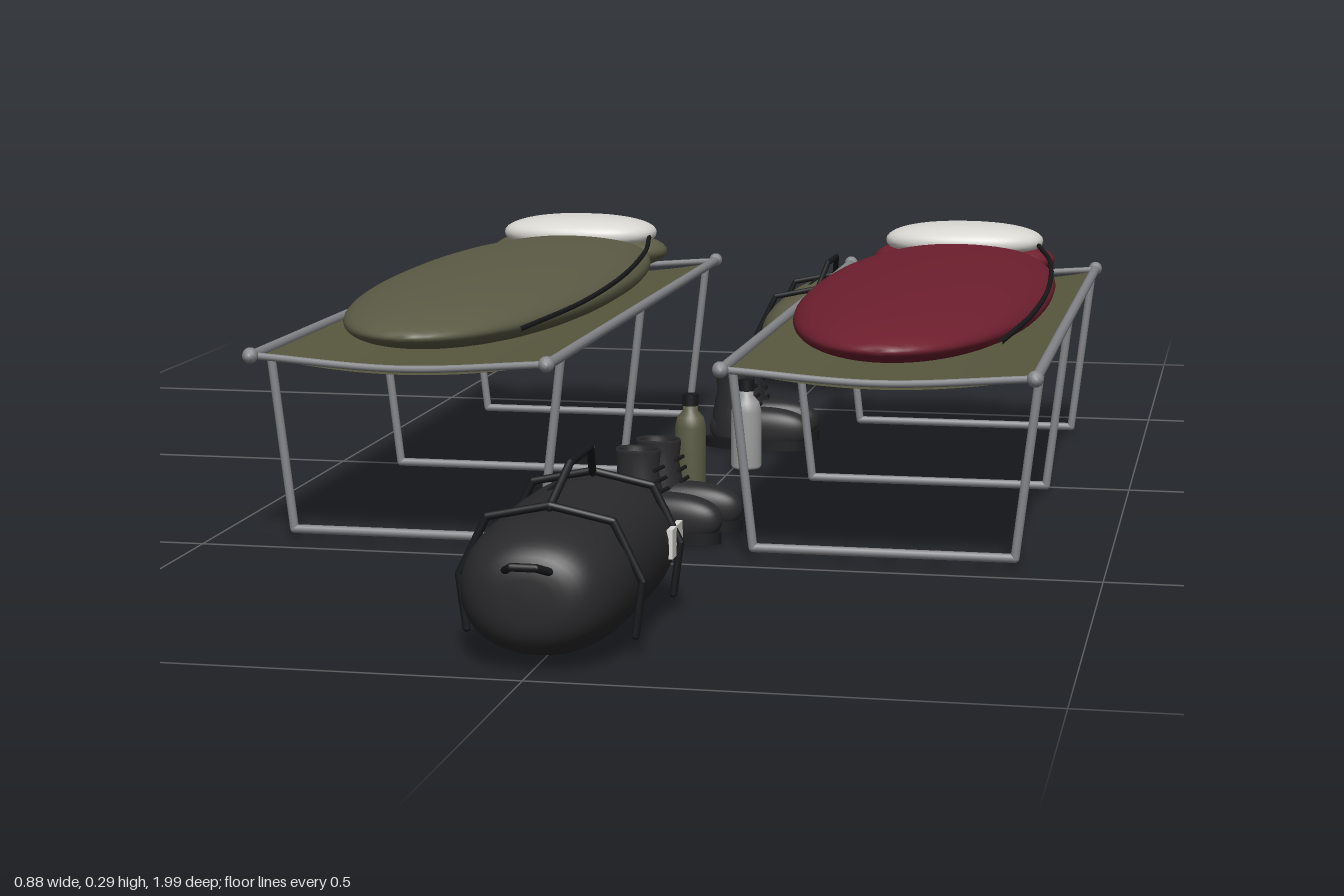
import * as THREE from 'three';
import { mergeVertices } from 'three/addons/utils/BufferGeometryUtils.js';

const mat = (name, color, side = THREE.FrontSide) => {
  const m = new THREE.MeshStandardMaterial({ color, side });
  m.name = name;
  return m;
};

export function createModel() {
  const steel = mat('steel grey', 0x85868a);
  const canvas = mat('canvas olive', 0x58583f, THREE.DoubleSide);
  const olive = mat('fabric olive', 0x5b5b45);
  const red = mat('fabric red', 0x6e1f2e);
  const white = mat('pillow white', 0xd8d7d2);
  const black = mat('bag black', 0x29292b);
  const strapBlack = mat('strap black', 0x17181a);
  const silver = mat('bottle grey', 0x9b9c9b);

  const V = (x, y, z) => new THREE.Vector3(x, y, z);
  const add = (parent, name, geo, material, x = 0, y = 0, z = 0) => {
    const m = new THREE.Mesh(geo, material);
    m.name = name;
    m.position.set(x, y, z);
    parent.add(m);
    return m;
  };
  const group = (parent, name, x = 0, y = 0, z = 0) => {
    const g = new THREE.Group();
    g.name = name;
    g.position.set(x, y, z);
    parent.add(g);
    return g;
  };

  // Straight round bars joined at each point
  const bars = (parent, name, pts, r, material) => {
    const g = group(parent, name);
    pts.forEach((p, i) => {
      add(g, name + 'Joint', new THREE.SphereGeometry(r, 10, 6), material, p.x, p.y, p.z);
      if (!i) return;
      const d = p.clone().sub(pts[i - 1]);
      const c = p.clone().add(pts[i - 1]).multiplyScalar(0.5);
      const b = add(g, name + 'Bar', new THREE.CylinderGeometry(r, r, d.length(), 10), material, c.x, c.y, c.z);
      b.quaternion.setFromUnitVectors(V(0, 1, 0), d.normalize());
    });
    return g;
  };
  const tube = (pts, r) => new THREE.TubeGeometry(new THREE.CatmullRomCurve3(pts), 40, r, 8);

  // Superellipsoid along z: lower end = squarer ends, lower sec = squarer section
  const blob = (rx, ry, rz, end = 1, sec = 1) => {
    const geo = new THREE.SphereGeometry(1, 40, 32).rotateX(Math.PI / 2);
    const p = geo.attributes.position;
    const pw = (v, e) => Math.sign(v) * Math.abs(v) ** e;
    for (let i = 0; i < p.count; i++) {
      const x = p.getX(i), y = p.getY(i), z = p.getZ(i);
      const r = Math.hypot(x, y);
      const k = r < 1e-5 ? 0 : r ** end;
      const q = r < 1e-5 ? 1 : r;
      p.setXYZ(i, rx * k * pw(x / q, sec), ry * k * pw(y / q, sec), rz * pw(z, end));
    }
    geo.deleteAttribute('uv');
    geo.deleteAttribute('normal');
    const out = mergeVertices(geo, 1e-5);
    out.computeVertexNormals();
    return out;
  };

  const root = new THREE.Group();
  root.name = 'campBeds';

  // Camp bed with sleeping bag and pillow
  const makeCot = (name, x, fabric) => {
    const g = group(root, name, x, 0, 0.045);
    const sheet = new THREE.PlaneGeometry(0.332, 0.92, 16, 1).rotateX(-Math.PI / 2);
    const p = sheet.attributes.position;
    for (let i = 0; i < p.count; i++) p.setY(i, 0.218 - 0.017 * (1 - (p.getX(i) / 0.166) ** 2));
    sheet.computeVertexNormals();
    add(g, 'canvasSheet', sheet, canvas);
    for (const s of [-1, 1]) {
      bars(g, 'sideRail', [V(s * 0.167, 0.219, -0.48), V(s * 0.167, 0.219, 0.48)], 0.006, steel);
      add(g, 'endBar', tube([V(-0.167, 0.219, s * 0.47), V(0, 0.209, s * 0.47), V(0.167, 0.219, s * 0.47)], 0.004), steel);
      for (const t of [-1, 1]) add(g, 'railKnob', new THREE.SphereGeometry(0.009, 12, 8), steel, s * 0.167, 0.22, t * 0.476);
    }
    for (const z of [-0.405, 0.005, 0.412]) {
      bars(g, 'legFrame', [V(-0.167, 0.219, z), V(-0.143, 0.014, z), V(0.143, 0.014, z), V(0.167, 0.219, z)], 0.005, steel);
    }
    add(g, 'sleepingBag', blob(0.145, 0.037, 0.455, 0.92), fabric, 0, 0.241, 0.008);
    add(g, 'sleepingBagHood', blob(0.12, 0.03, 0.068), fabric, 0, 0.243, -0.37);
    add(g, 'pillow', blob(0.104, 0.024, 0.066, 0.85, 0.9), white, 0, 0.267, -0.372);
    add(g, 'zip', tube([V(0.1, 0.264, -0.35), V(0.127, 0.262, -0.2), V(0.142, 0.255, 0), V(0.14, 0.25, 0.2), V(0.125, 0.25, 0.43)], 0.003), strapBlack);
  };
  makeCot('leftCot', 0.26, red);
  makeCot('rightCot', -0.264, olive);

  // Duffel bag with straps, carry handle, end loops and label
  const makeDuffel = (name, z, fabric) => {
    const g = group(root, name, 0, 0, z);
    add(g, 'bagBody', blob(0.084, 0.068, 0.178, 0.52, 0.93), fabric, 0, 0.072, 0);
    for (const s of [-1, 1]) {
      const ring = [[-0.083, 0.022], [-0.09, 0.075], [-0.062, 0.132], [0, 0.145], [0.062, 0.132], [0.09, 0.075], [0.083, 0.022]];
      bars(g, 'strap', ring.map(([x, y]) => V(x, y, s * 0.088)), 0.004, strapBlack);
      bars(g, 'endLoop', [V(-0.022, 0.1, s * 0.172), V(-0.012, 0.107, s * 0.188), V(0.012, 0.107, s * 0.188), V(0.022, 0.1, s * 0.172)], 0.004, strapBlack);
    }
    bars(g, 'carryHandle', [V(0, 0.143, 0.088), V(0.009, 0.178, 0.042), V(0.009, 0.178, -0.042), V(0, 0.143, -0.088)], 0.004, strapBlack);
    add(g, 'zipPull', new THREE.BoxGeometry(0.004, 0.006, 0.06), strapBlack, -0.028, 0.135, -0.05);
    add(g, 'label', new THREE.BoxGeometry(0.006, 0.03, 0.05), white, 0.084, 0.077, -0.09);
  };
  makeDuffel('frontDuffel', 0.805, black);
  makeDuffel('backDuffel', -0.805, olive);

  // Boots, toes towards +x
  const makeBoot = (x, z, turn) => {
    const g = group(root, 'boot', x, 0, z);
    g.rotation.y = turn;
    const sole = new THREE.CylinderGeometry(1, 1, 0.013, 28);
    sole.scale(0.07, 1, 0.024);
    add(g, 'sole', sole, strapBlack, 0, 0.0105, 0);
    add(g, 'foot', blob(0.067, 0.028, 0.023, 0.8, 0.85), black, 0.003, 0.03, 0);
    const profile = [[0.024, 0.02], [0.025, 0.05], [0.02, 0.08], [0.022, 0.102], [0.021, 0.106], [0.016, 0.104], [0.015, 0.07], [0, 0.07]];
    const shaft = new THREE.LatheGeometry(profile.map(([r, y]) => new THREE.Vector2(r, y)), 24);
    shaft.scale(1.2, 1, 0.95);
    add(g, 'shaft', shaft, black, -0.03, 0, 0);
    for (let i = 0; i < 3; i++) {
      const lace = add(g, 'lace', new THREE.CylinderGeometry(0.0025, 0.0025, 0.026, 6), strapBlack, 0.001 - i * 0.003, 0.06 + i * 0.012, 0);
      lace.rotation.x = Math.PI / 2;
    }
  };
  makeBoot(0.007, -0.25, 0.06);
  makeBoot(0.007, -0.184, -0.06);
  makeBoot(0.012, 0.322, -0.1);
  makeBoot(0.002, 0.388, -0.17);

  // Water bottles
  const makeBottle = (x, z, material) => {
    const g = group(root, 'bottle', x, 0, z);
    const profile = [[0, 0.008], [0.017, 0.008], [0.019, 0.011], [0.019, 0.08], [0.016, 0.092], [0.009, 0.1], [0.009, 0.108], [0, 0.108]];
    add(g, 'bottleBody', new THREE.LatheGeometry(profile.map(([r, y]) => new THREE.Vector2(r, y)), 28), material);
    add(g, 'bottleCap', new THREE.CylinderGeometry(0.01, 0.01, 0.014, 20), strapBlack, 0, 0.113, 0);
  };
  makeBottle(-0.026, 0.095, olive);
  makeBottle(0.021, -0.025, silver);

  return root;
}
